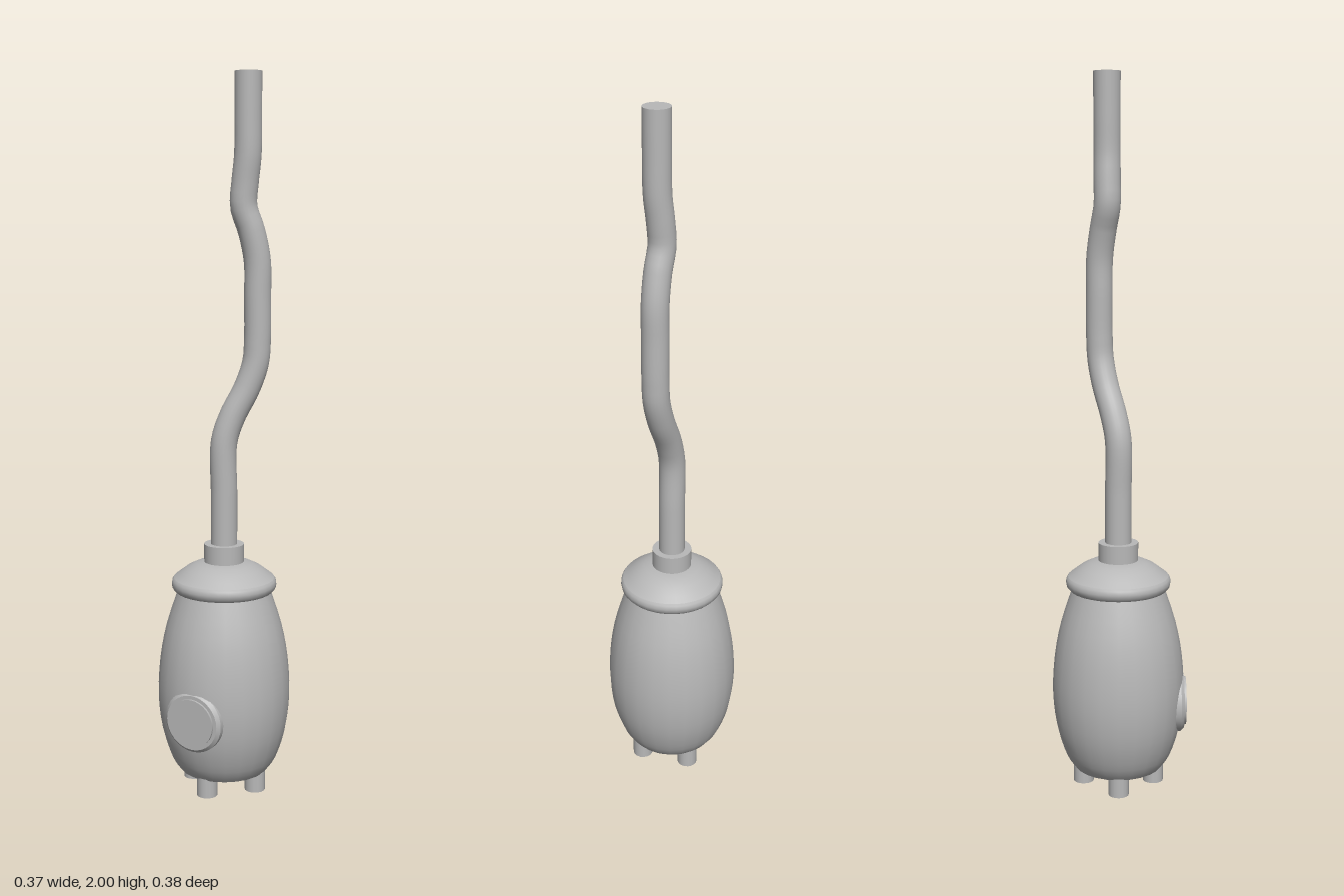
import * as THREE from 'three';

export function createModel() {
  const model = new THREE.Group();
  const iron = new THREE.MeshStandardMaterial({ color: 0xb8b8b8 });
  iron.name = 'grey iron';

  const add = (name, geometry, x = 0, y = 0, z = 0) => {
    const mesh = new THREE.Mesh(geometry, iron);
    mesh.name = name;
    mesh.position.set(x, y, z);
    model.add(mesh);
    return mesh;
  };
  const lathe = (points, sides) =>
    new THREE.LatheGeometry(points.map(([r, y]) => new THREE.Vector2(r, y)), sides);

  const cz = -0.003; // stove axis, shifted by the door in front

  // Pot belly with a flat underside
  const belly = new THREE.SplineCurve([
    [0.125, 0.052], [0.15, 0.09], [0.176, 0.17], [0.187, 0.27],
    [0.181, 0.38], [0.162, 0.48], [0.128, 0.585],
  ].map(([r, y]) => new THREE.Vector2(r, y)));
  add('belly', new THREE.LatheGeometry(belly.getPoints(18), 24), 0, 0, cz);
  const underside = add('underside', new THREE.CircleGeometry(0.125, 24), 0, 0.052, cz);
  underside.rotation.x = Math.PI / 2;

  // Rounded rim and domed lid
  add('rim', lathe([
    [0.12, 0.575], [0.138, 0.577], [0.146, 0.586], [0.148, 0.597],
    [0.146, 0.608], [0.138, 0.617], [0.12, 0.62],
  ], 32), 0, 0, cz);
  add('lid', lathe([
    [0.142, 0.614], [0.125, 0.627], [0.105, 0.642], [0.08, 0.654], [0.05, 0.661], [0, 0.663],
  ], 32), 0, 0, cz);

  // Collar around the foot of the pipe
  add('collar', new THREE.CylinderGeometry(0.056, 0.056, 0.055, 32), 0, 0.683, cz);

  // Crooked stove pipe with a closed top
  const path = new THREE.CatmullRomCurve3([
    [0, 0.66, cz], [0, 0.85, cz], [0, 1.0, cz], [0.018, 1.07, -0.016],
    [0.052, 1.15, -0.039], [0.072, 1.22, -0.052], [0.076, 1.28, -0.055],
    [0.076, 1.4, -0.055], [0.075, 1.5, -0.054], [0.062, 1.58, -0.044],
    [0.044, 1.645, -0.033], [0.048, 1.71, -0.033], [0.056, 1.78, -0.033],
    [0.057, 1.88, -0.033], [0.057, 2, -0.033],
  ].map((p) => new THREE.Vector3(...p)));
  add('pipe', new THREE.TubeGeometry(path, 64, 0.037, 24));
  const cap = add('pipeTop', new THREE.CircleGeometry(0.037, 24), 0.057, 2, -0.033);
  cap.rotation.x = -Math.PI / 2;

  // Round door: bevelled plate with a thin raised face
  const disc = (name, front, back, z0, z1) => {
    const geometry = new THREE.CylinderGeometry(front, back, z1 - z0, 32);
    geometry.rotateX(Math.PI / 2);
    add(name, geometry, 0, 0.242, (z0 + z1) / 2);
  };
  disc('doorPlate', 0.087, 0.087, 0.13, 0.175);
  disc('doorBevel', 0.078, 0.087, 0.175, 0.184);
  disc('doorFace', 0.068, 0.068, 0.182, 0.19);

  // Four short feet
  for (let i = 0; i < 4; i++) {
    const a = (i * Math.PI) / 2;
    add('foot', new THREE.CylinderGeometry(0.029, 0.029, 0.07, 16),
      0.1 * Math.cos(a), 0.035, cz + 0.1 * Math.sin(a));
  }
  return model;
}
